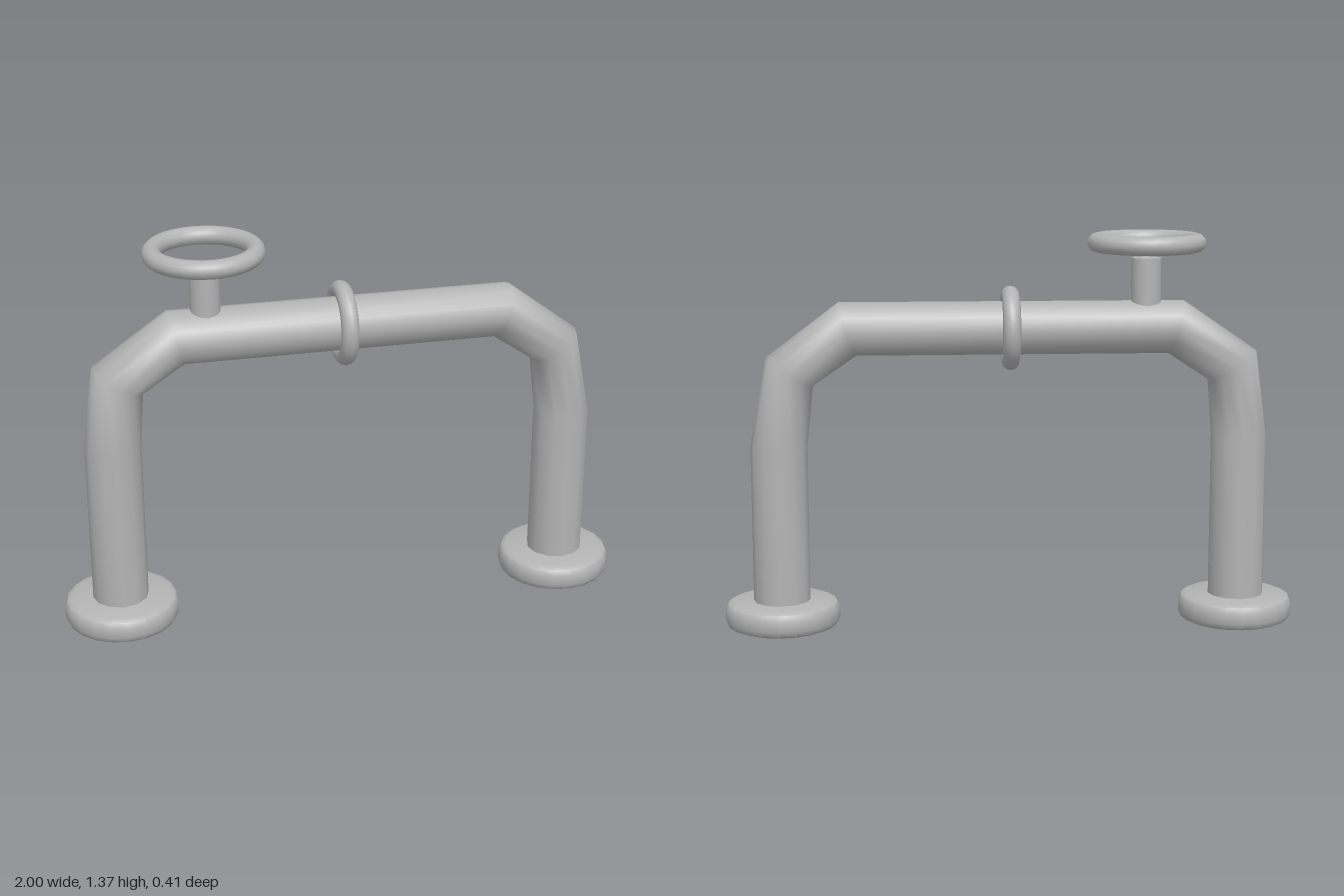
import * as THREE from 'three';
import { toCreasedNormals } from 'three/addons/utils/BufferGeometryUtils.js';

// Smooth tube through mitred rings, each given by its outer and inner edge points
function bentPipe(rings, radius, sides) {
  const pos = [], index = [];
  rings.forEach(([ox, oy, ix, iy], i) => {
    const cx = (ox + ix) / 2, cy = (oy + iy) / 2;
    for (let j = 0; j < sides; j++) {
      const a = (j / sides) * Math.PI * 2, c = Math.cos(a);
      pos.push(cx + (ox - cx) * c, cy + (oy - cy) * c, radius * Math.sin(a));
      if (i === 0) continue;
      const k = (j + 1) % sides, lo = (i - 1) * sides, hi = i * sides;
      index.push(lo + j, lo + k, hi + j, lo + k, hi + k, hi + j);
    }
  });
  const geo = new THREE.BufferGeometry();
  geo.setAttribute('position', new THREE.Float32BufferAttribute(pos, 3));
  geo.setIndex(index);
  geo.computeVertexNormals();
  return geo;
}

export function createModel() {
  const group = new THREE.Group();
  const metal = new THREE.MeshStandardMaterial({ color: 0xb4b4b4 });
  metal.name = 'grey metal';

  function add(name, geometry, x, y) {
    const mesh = new THREE.Mesh(geometry, metal);
    mesh.name = name;
    mesh.position.set(x, y, 0);
    group.add(mesh);
    return mesh;
  }

  // Arched pipe, from the right foot over to the left foot
  add('pipe', bentPipe([
    [-0.9, 0.03, -0.705, 0.03],
    [-0.9, 0.67, -0.705, 0.67],
    [-0.86, 0.96, -0.69, 0.86],
    [-0.6, 1.138, -0.55, 0.953],
    [0.59, 1.138, 0.53, 0.953],
    [0.84, 0.95, 0.68, 0.85],
    [0.9, 0.64, 0.703, 0.64],
    [0.9, 0.03, 0.703, 0.03],
  ], 0.097, 12), 0, 0);

  // Rounded floor flanges
  const profile = [[0, 0], [0.172, 0], [0.191, 0.008], [0.2, 0.028], [0.2, 0.064],
    [0.191, 0.084], [0.172, 0.092], [0, 0.092]].map(([x, y]) => new THREE.Vector2(x, y));
  const flange = toCreasedNormals(new THREE.LatheGeometry(profile, 20), 0.75);
  add('rightFlange', flange, -0.8, 0);
  add('leftFlange', flange, 0.8, 0);

  // Ring around the middle of the pipe
  add('collarRing', new THREE.TorusGeometry(0.115, 0.031, 12, 32), 0, 1.045).rotation.y = Math.PI / 2;

  // Valve stem and the handwheel floating above it
  add('valveStem', new THREE.CylinderGeometry(0.052, 0.052, 0.225, 16), -0.47, 1.1725);
  add('handwheel', new THREE.TorusGeometry(0.173, 0.032, 12, 32), -0.47, 1.337).rotation.x = Math.PI / 2;

  return group;
}
